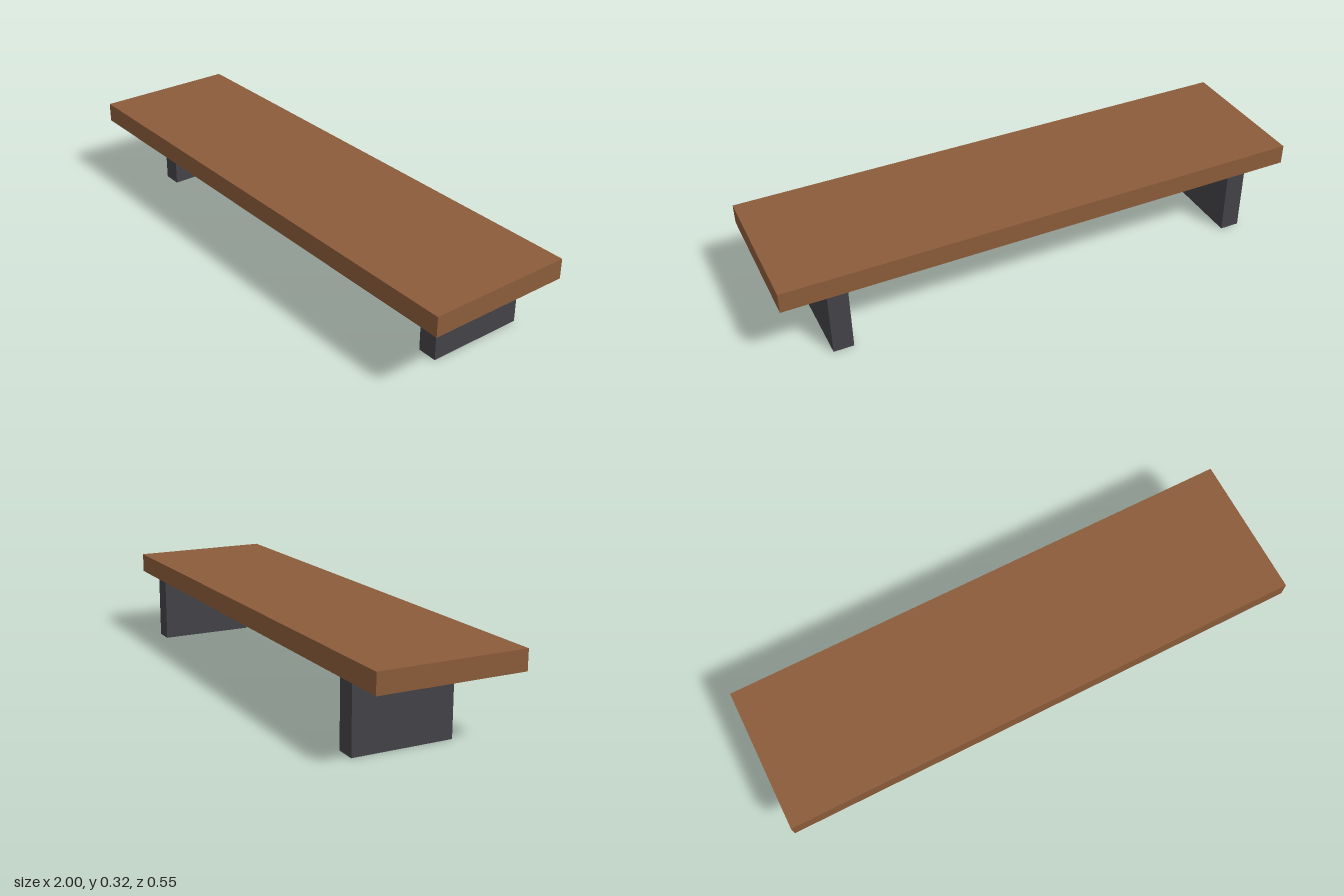
import * as THREE from 'three';

export function createModel() {
  const model = new THREE.Group();
  model.name = 'bench';

  const wood = new THREE.MeshStandardMaterial({ color: 0x8b5c3a });
  wood.name = 'brown wood';
  const metal = new THREE.MeshStandardMaterial({ color: 0x434247 });
  metal.name = 'dark grey metal';

  const addBox = (name, size, position, material) => {
    const mesh = new THREE.Mesh(new THREE.BoxGeometry(...size), material);
    mesh.name = name;
    mesh.position.set(...position);
    model.add(mesh);
  };

  const legHeight = 0.25;
  const topThickness = 0.075;

  // Plank resting on the legs
  addBox('plank', [2, topThickness, 0.55], [0, legHeight + topThickness / 2, 0], wood);

  // Pair of slab legs, set towards the back
  for (const side of [-1, 1]) {
    addBox(side > 0 ? 'leftLeg' : 'rightLeg', [0.075, legHeight, 0.375],
      [side * 0.8, legHeight / 2, -0.075], metal);
  }

  return model;
}
